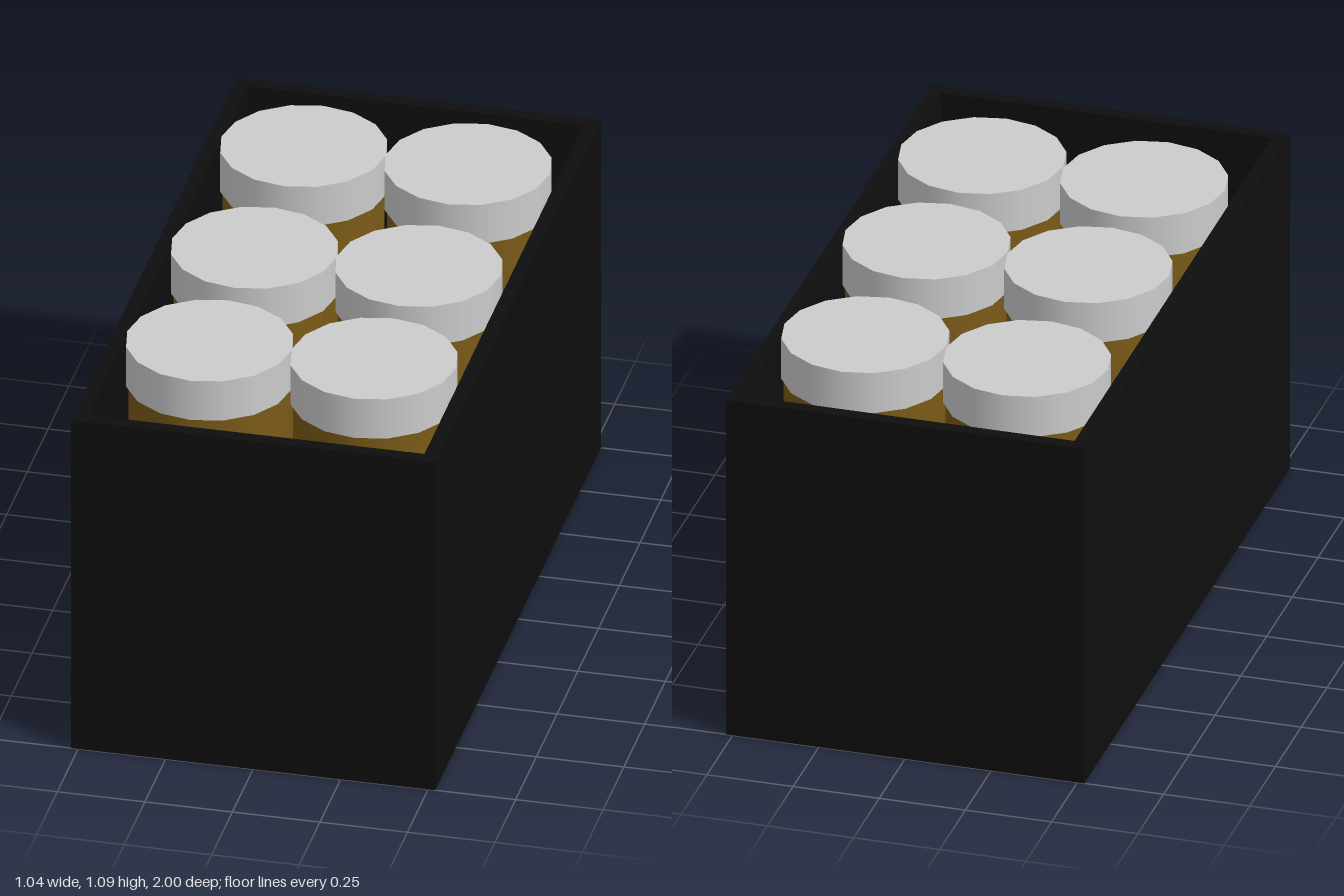
import * as THREE from 'three';

const W = 1.04, H = 1.045, D = 2, WALL = 0.04;

export function createModel() {
  const model = new THREE.Group();
  const black = new THREE.MeshStandardMaterial({ color: 0x0e0e0e });
  const amber = new THREE.MeshStandardMaterial({ color: 0x7a5a18 });
  const grey = new THREE.MeshStandardMaterial({ color: 0xcccccc });

  const add = (parent, name, geometry, material, x, y, z) => {
    const mesh = new THREE.Mesh(geometry, material);
    mesh.name = name;
    mesh.position.set(x, y, z);
    parent.add(mesh);
    return mesh;
  };
  const rectangle = (path, w, d) => path
    .moveTo(-w / 2, -d / 2).lineTo(w / 2, -d / 2)
    .lineTo(w / 2, d / 2).lineTo(-w / 2, d / 2).closePath();

  // Open-topped crate: a rectangular ring of walls and a floor
  const crate = new THREE.Group();
  crate.name = 'crate';
  model.add(crate);
  const outline = new THREE.Shape();
  rectangle(outline, W, D);
  const opening = new THREE.Path();
  rectangle(opening, W - 2 * WALL, D - 2 * WALL);
  outline.holes.push(opening);
  const wallGeometry = new THREE.ExtrudeGeometry(outline, { depth: H, bevelEnabled: false });
  wallGeometry.rotateX(-Math.PI / 2);
  add(crate, 'crateWalls', wallGeometry, black, 0, 0, 0);
  add(crate, 'crateFloor', new THREE.BoxGeometry(W - 2 * WALL, WALL, D - 2 * WALL), black, 0, WALL / 2, 0);

  // Two rows of three lidded jars; the rows differ slightly in height and position
  const lidHeight = 0.125;
  const rows = [
    { x: -0.233, top: 1.086, zs: [-0.594, 0, 0.542] },
    { x: 0.237, top: 1.09, zs: [-0.592, 0.002, 0.543] },
  ];
  const lidGeometry = new THREE.CylinderGeometry(0.235, 0.235, lidHeight, 16);
  for (const { x, top, zs } of rows) {
    const bodyHeight = top - lidHeight - WALL;
    const bodyGeometry = new THREE.CylinderGeometry(0.228, 0.228, bodyHeight, 16);
    for (const z of zs) {
      const jar = new THREE.Group();
      jar.name = 'jar';
      jar.position.set(x, 0, z);
      model.add(jar);
      add(jar, 'jarBody', bodyGeometry, amber, 0, WALL + bodyHeight / 2, 0);
      add(jar, 'jarLid', lidGeometry, grey, 0, top - lidHeight / 2, 0);
    }
  }
  return model;
}
